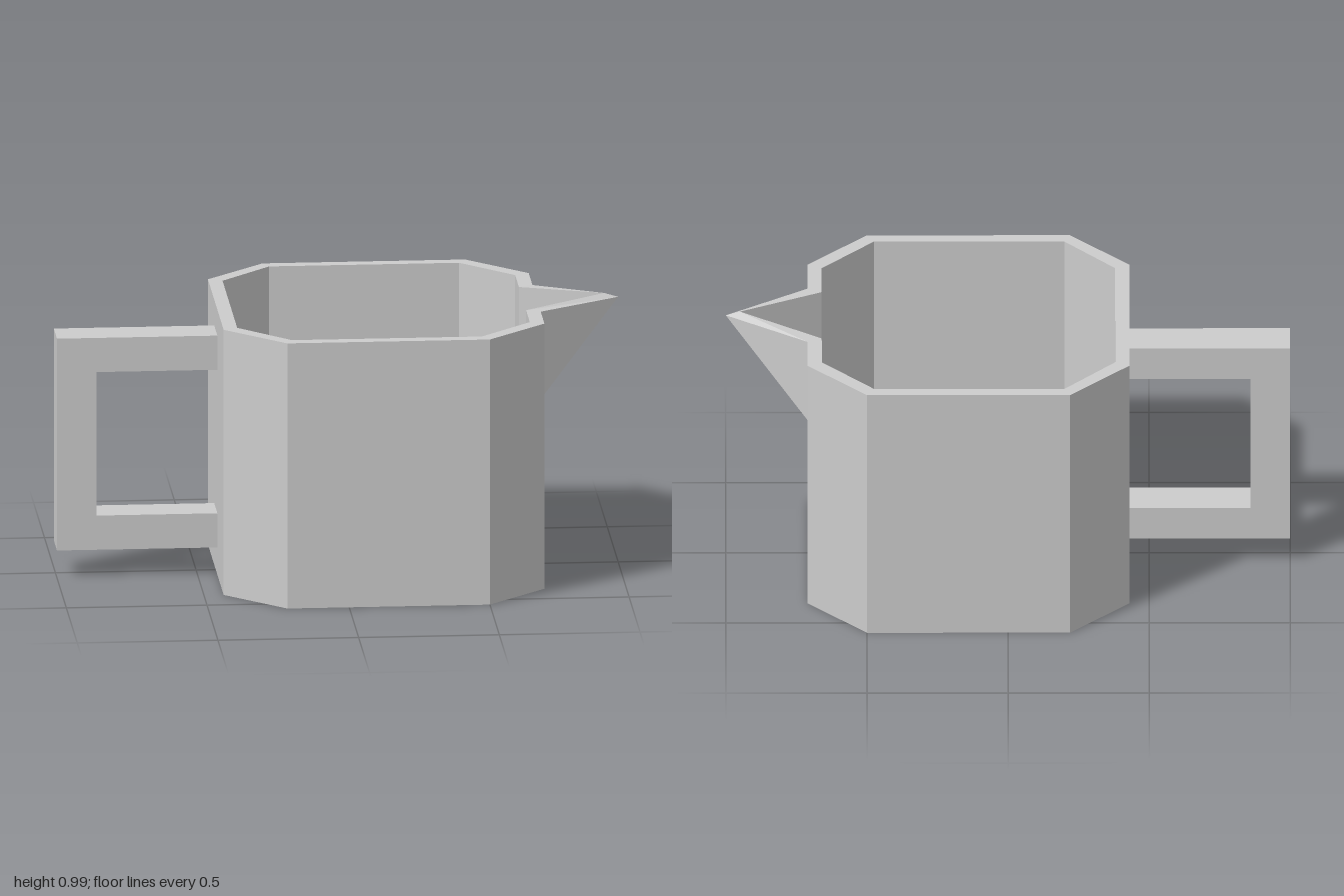
import * as THREE from 'three';

const material = new THREE.MeshStandardMaterial({ color: 0xcccccc, flatShading: true });

// Top outline of the jug: +z half from spout corner to back, mirrored, then the spout tip
function outline(half, tip) {
  const pts = half.map(([x, z]) => new THREE.Vector3(x, 0.97, z));
  const mirrored = half.map(([x, z]) => new THREE.Vector3(x, 0.97, -z)).reverse();
  return [...pts, ...mirrored, new THREE.Vector3(...tip)];
}

const atHeight = (p, y) => new THREE.Vector3(p.x, y, p.z);

function meshFrom(name, triangles) {
  const geometry = new THREE.BufferGeometry().setFromPoints(triangles);
  geometry.computeVertexNormals();
  const mesh = new THREE.Mesh(geometry, material);
  mesh.name = name;
  return mesh;
}

// One skin of the jug: walls, base and pointed spout; flip turns it to face inwards
function shell(name, loop, baseY, spoutY, flip) {
  const tris = [];
  const tri = (a, b, c) => (flip ? tris.push(a, c, b) : tris.push(a, b, c));
  const wall = (p, q, topP, topQ) => {
    const a = atHeight(p, baseY), b = atHeight(q, baseY);
    tri(a, topP, topQ);
    tri(a, topQ, b);
  };
  const last = loop.length - 2, tip = loop[last + 1];
  for (let i = 0; i < last; i++) wall(loop[i], loop[i + 1], loop[i], loop[i + 1]);

  // Wall under the spout
  const lowA = atHeight(loop[0], spoutY), lowB = atHeight(loop[last], spoutY);
  wall(loop[last], loop[0], lowB, lowA);

  // Spout sides and underside
  tri(loop[0], lowA, tip);
  tri(lowB, loop[last], tip);
  tri(lowA, lowB, tip);

  // Base
  const base = loop.slice(0, -1).map((p) => atHeight(p, baseY));
  for (let i = 1; i < last; i++) tri(base[0], base[i], base[i + 1]);
  return meshFrom(name, tris);
}

// Flat lip joining both skins
function rim(outer, inner) {
  const tris = [];
  outer.forEach((p, i) => {
    const j = (i + 1) % outer.length;
    tris.push(p, inner[i], inner[j], p, inner[j], outer[j]);
  });
  return meshFrom('rim', tris);
}

// Square-cornered C-shaped handle
function handle() {
  const depth = 0.145;
  const shape = new THREE.Shape([
    [-0.43, 0.1], [-0.43, 0.225], [-0.86, 0.225], [-0.86, 0.75],
    [-0.43, 0.75], [-0.43, 0.875], [-1, 0.875], [-1, 0.1],
  ].map(([x, y]) => new THREE.Vector2(x, y)));
  const geometry = new THREE.ExtrudeGeometry(shape, { depth, bevelEnabled: false });
  geometry.translate(0, 0, -depth / 2);
  const mesh = new THREE.Mesh(geometry, material);
  mesh.name = 'handle';
  return mesh;
}

export function createModel() {
  const outer = outline(
    [[0.71, 0.19], [0.71, 0.36], [0.5, 0.57], [-0.22, 0.57], [-0.43, 0.36]], [1, 0.97, 0]);
  const inner = outline(
    [[0.66, 0.165], [0.66, 0.335], [0.475, 0.525], [-0.2, 0.525], [-0.38, 0.335]], [0.95, 0.985, 0]);

  const jug = new THREE.Group();
  jug.name = 'jug';
  jug.add(
    shell('outerBody', outer, 0, 0.65, false),
    shell('innerBody', inner, 0.05, 0.61, true),
    rim(outer, inner),
    handle(),
  );
  return jug;
}
